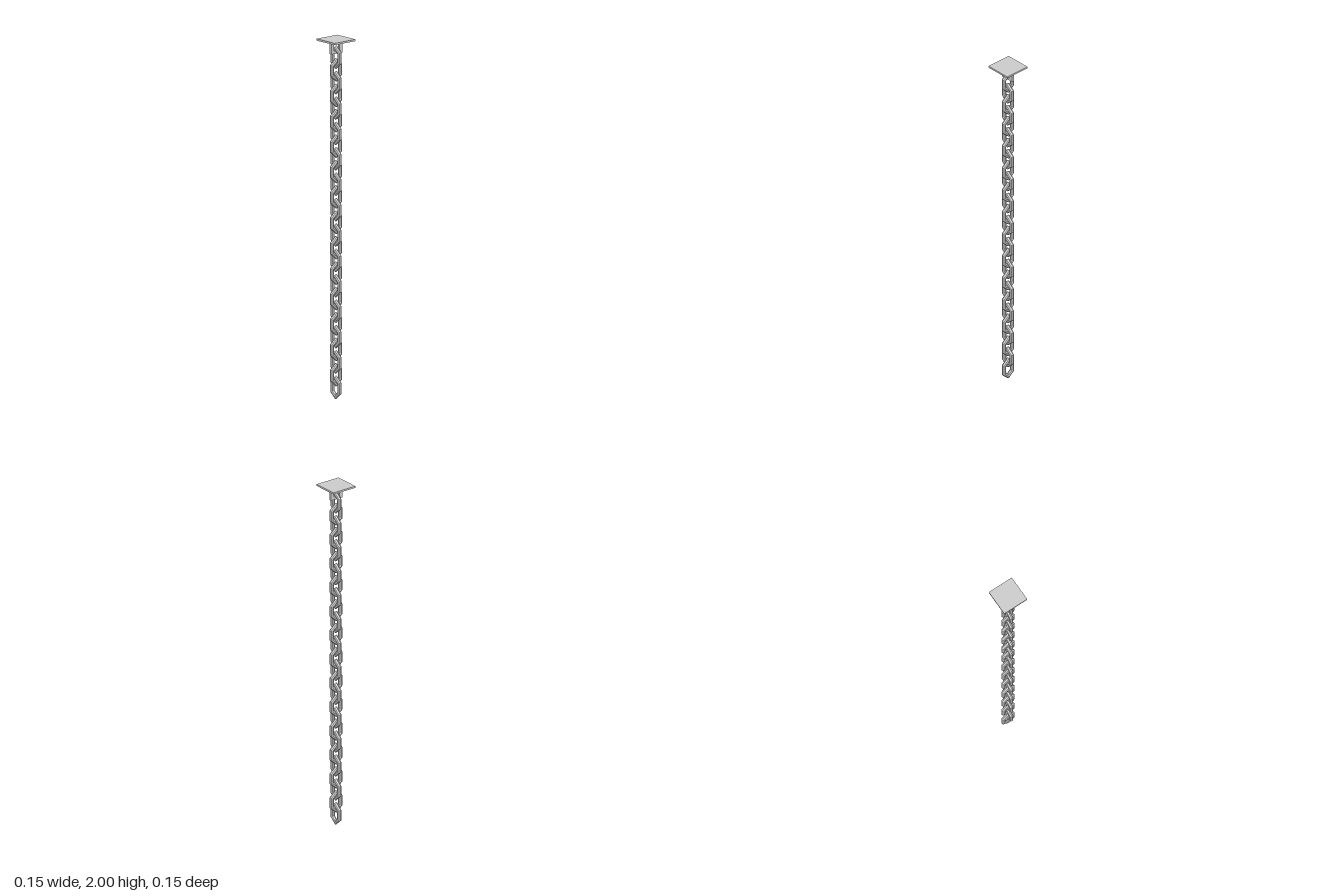
import * as THREE from 'three';

const WIRE = 0.0115;      // wire radius
const HALF_W = 0.0295;    // wire centreline half-width of a link
const APEX = 0.0509;      // wire centreline half-height of a link
const SLOPE = 0.854;      // slope of the pointed ends
const PITCH = 0.0705;     // height step between neighbouring links
const LINKS = 27;

// Six-sided link with mitred corners: a coarse torus reshaped into a tall hexagon
function linkGeometry() {
  const geo = new THREE.TorusGeometry(1, WIRE, 8, 6);
  geo.rotateZ(Math.PI / 6);
  const p = geo.attributes.position;
  const miter = Math.hypot(1, SLOPE);
  for (let i = 0; i < p.count; i++) {
    const x = p.getX(i), y = p.getY(i);
    const d = Math.hypot(x, y) - 1; // offset outward from the wire centreline
    const side = Math.abs(x) < 0.2 ? 0 : Math.sign(x);
    const w = HALF_W + d;
    const h = APEX + d * miter - Math.abs(side) * SLOPE * w;
    p.setXY(i, side * w, Math.sign(y) * h);
  }
  geo.computeVertexNormals();
  return geo;
}

export function createModel() {
  const group = new THREE.Group();
  const material = new THREE.MeshStandardMaterial({ color: 0xcccccc, flatShading: true });

  const add = (name, geometry, y) => {
    const mesh = new THREE.Mesh(geometry, material);
    mesh.name = name;
    mesh.position.y = y;
    group.add(mesh);
    return mesh;
  };

  // Ceiling plate
  add('ceilingPlate', new THREE.BoxGeometry(0.15, 0.01, 0.15), 1.995);

  // Square eye hanging under the plate
  const eye = new THREE.Shape([
    new THREE.Vector2(-0.039, -0.07), new THREE.Vector2(0.039, -0.07),
    new THREE.Vector2(0.039, 0), new THREE.Vector2(-0.039, 0),
  ]);
  eye.holes.push(new THREE.Path([
    new THREE.Vector2(-0.02, -0.054), new THREE.Vector2(-0.02, -0.014),
    new THREE.Vector2(0.02, -0.014), new THREE.Vector2(0.02, -0.054),
  ]));
  const eyeGeo = new THREE.ExtrudeGeometry(eye, { depth: 0.014, bevelEnabled: false });
  eyeGeo.translate(0, 0, -0.007);
  add('hangingEye', eyeGeo, 1.991);

  // Chain: every other link is turned a quarter turn
  const geo = linkGeometry();
  for (let i = 0; i < LINKS; i++) {
    const link = add('chainLink' + (i + 1), geo, 0.066 + i * PITCH);
    link.rotation.y = i % 2 === 0 ? Math.PI / 2 : 0;
  }
  return group;
}
